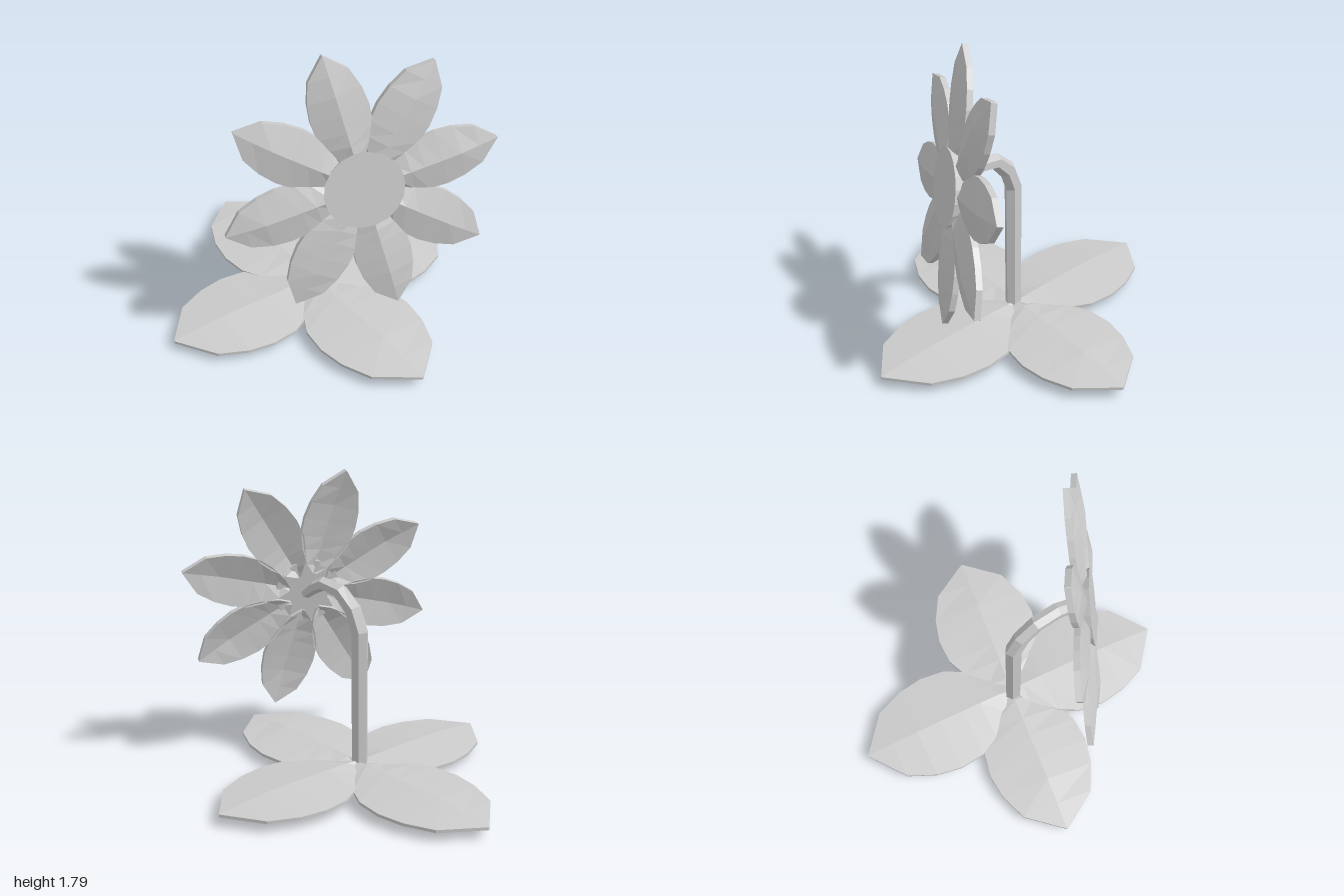
import * as THREE from 'three';

const material = new THREE.MeshStandardMaterial({ color: 0xcccccc, flatShading: true });

// Skin a list of equal-length rings of [x, y, z] points and cap both ends.
function loft(rings) {
  const n = rings[0].length, index = [];
  for (let i = 0; i < rings.length - 1; i++) {
    for (let j = 0; j < n; j++) {
      const k = (j + 1) % n;
      const a = i * n + j, b = i * n + k, c = b + n, d = a + n;
      index.push(a, b, c, a, c, d);
    }
  }
  const last = (rings.length - 1) * n;
  for (let j = 1; j < n - 1; j++) {
    index.push(0, j + 1, j, last, last + j, last + j + 1);
  }
  const g = new THREE.BufferGeometry();
  g.setAttribute('position', new THREE.Float32BufferAttribute(rings.flat(2), 3));
  g.setIndex(index);
  const flat = g.toNonIndexed();
  flat.computeVertexNormals();
  return flat;
}

function mesh(name, geometry) {
  const m = new THREE.Mesh(geometry, material);
  m.name = name;
  return m;
}

// Folded blade along +y with a raised centre ridge on +z: [along, half width, ridge]
const BLADE = [
  [0, 0.02, 0.7], [0.08, 0.13, 0.9], [0.22, 0.245, 1], [0.34, 0.308, 1], [0.5, 0.326, 1],
  [0.66, 0.3, 0.95], [0.83, 0.226, 0.5], [1, 0.004, 0],
];

function blade(length, halfWidth, ridge, thickness) {
  return loft(BLADE.map(([t, w, r]) => {
    const y = t * length, x = (w / 0.326) * halfWidth, z = r * ridge, h = thickness;
    return [[0, y, z + h], [x, y, h], [x, y, 0], [0, y, z], [-x, y, 0], [-x, y, h]];
  }));
}

// Six-sided stem following a path in the y-z plane: [y, z, half x, half depth]
function stem() {
  const path = [
    [0, 0.003, 0.004, 0.05], [0.045, 0.004, 0.04, 0.053], [0.9, 0.004, 0.04, 0.056],
    [1.025, 0.055, 0.04, 0.054], [1.115, 0.15, 0.04, 0.046], [1.138, 0.28, 0.04, 0.042],
    [1.105, 0.35, 0.038, 0.038], [1.05, 0.425, 0.034, 0.03],
  ];
  return loft(path.map(([y, z, hx, hd], i) => {
    const a = path[Math.max(i - 1, 0)], b = path[Math.min(i + 1, path.length - 1)];
    // average the directions of the neighbouring segments
    const unit = (p, q) => new THREE.Vector2(q[0] - p[0], q[1] - p[1]).normalize();
    const t = unit(a, path[i]).add(unit(path[i], b)).normalize();
    return Array.from({ length: 6 }, (_, j) => {
      const s = (j * Math.PI) / 3, d = hd * Math.cos(s);
      return [-0.025 + (hx * Math.sin(s)) / 0.866, y - t.y * d, z + t.x * d];
    });
  }));
}

export function createModel() {
  const model = new THREE.Group();
  model.name = 'flower';
  model.add(mesh('stem', stem()));

  // Four ground leaves: [heading offset, length, base height]
  const leaves = new THREE.Group();
  leaves.name = 'leaves';
  [[0.09, 1.004, 0.054], [0.18, 0.955, 0.056], [0.1, 1.005, 0.054], [0.166, 0.96, 0.046]]
    .forEach(([offset, length, y], i) => {
      const leaf = new THREE.Group();
      leaf.name = 'leaf';
      leaf.position.y = y;
      leaf.rotation.y = -(i * Math.PI / 2 + offset);
      const surface = mesh('leafBlade', blade(length, 0.326, 0.032, 0.018));
      surface.rotation.x = -Math.PI / 2;
      leaf.add(surface);
      leaves.add(leaf);
    });
  model.add(leaves);

  // Flower head, turned aside and tipped slightly upward
  const head = new THREE.Group();
  head.name = 'flowerHead';
  head.position.set(-0.054, 1.054, 0.435);
  head.rotation.set(-0.173, -0.529, 0.257, 'YXZ');

  const disc = new THREE.CylinderGeometry(0.222, 0.2, 0.055, 18);
  disc.rotateX(Math.PI / 2);
  disc.translate(0, 0, 0.033);
  head.add(mesh('centreDisc', disc));

  // Ring of eight petals
  const petalShape = blade(0.65, 0.16, 0.035, 0.034);
  petalShape.translate(0, 0.122, -0.017);
  for (let i = 0; i < 8; i++) {
    const petal = mesh('petal', petalShape);
    petal.rotation.z = (i * Math.PI) / 4;
    head.add(petal);
  }
  model.add(head);
  return model;
}
